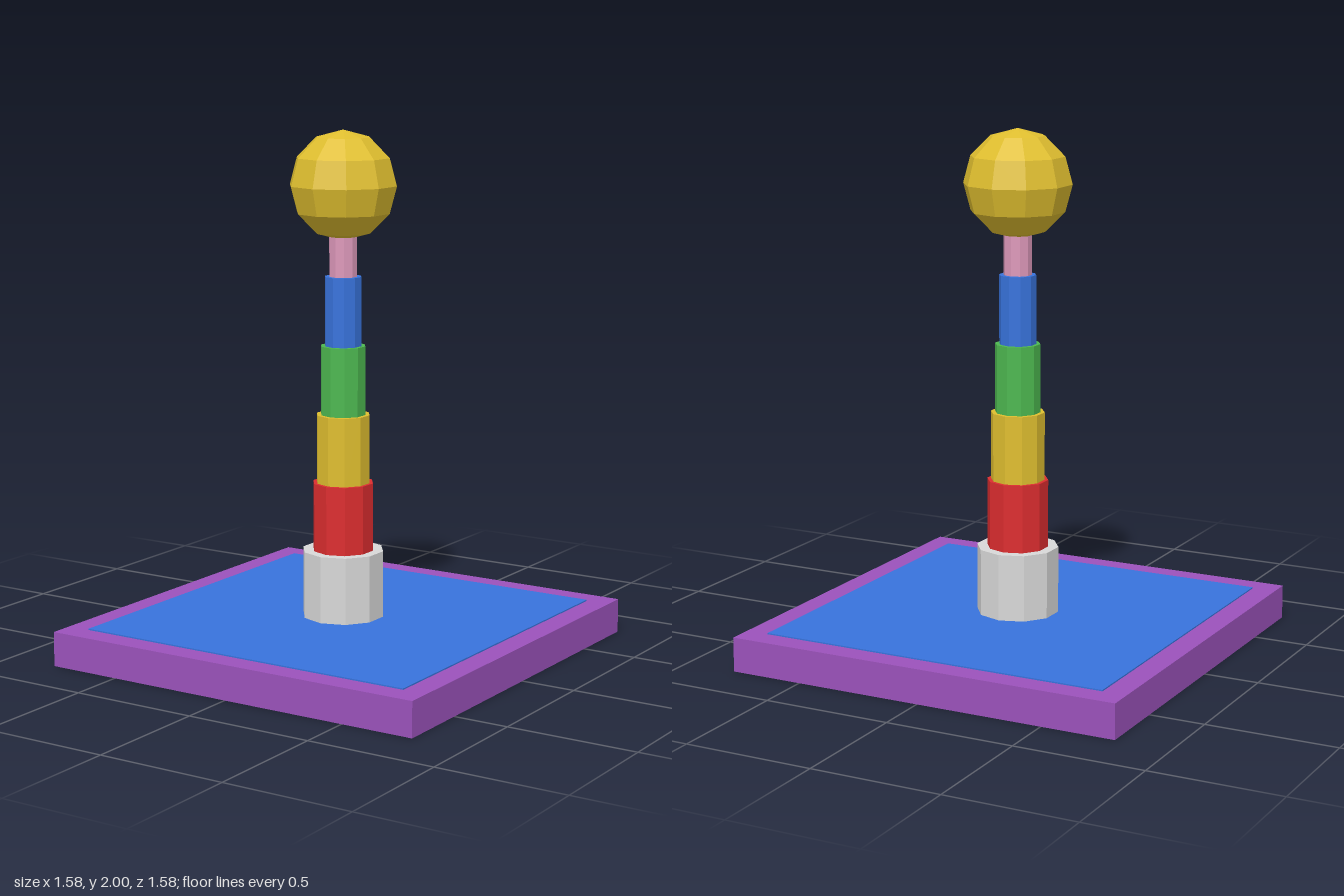
import * as THREE from 'three';

const paint = (name, color) => {
  const m = new THREE.MeshStandardMaterial({ color });
  m.name = name;
  m.flatShading = true;
  return m;
};

export function createModel() {
  const model = new THREE.Group();
  model.name = 'steppedPost';

  const purple = paint('purple', 0x9b52bb);
  const blue = paint('blue', 0x3873dc);
  const grey = paint('grey', 0xd8d8d8);
  const red = paint('red', 0xdc2d2f);
  const yellow = paint('yellow', 0xdfbe2f);
  const green = paint('green', 0x4db850);
  const pink = paint('pink', 0xdd98ba);

  const add = (name, geometry, material, y) => {
    const mesh = new THREE.Mesh(geometry, material);
    mesh.name = name;
    mesh.position.y = y;
    model.add(mesh);
    return mesh;
  };

  // Square base with a thin inset panel on top
  const baseTop = 0.133;
  add('base', new THREE.BoxGeometry(1.575, baseTop, 1.575), purple, baseTop / 2);
  add('topPanel', new THREE.BoxGeometry(1.39, 0.006, 1.39), blue, baseTop + 0.002);

  // Telescoping ten-sided column, narrowing step by step
  const step = 0.2634;
  const tiers = [
    ['greyTier', 0.158, grey],
    ['redTier', 0.118, red],
    ['yellowTier', 0.104, yellow],
    ['greenTier', 0.087, green],
    ['blueTier', 0.071, blue],
    ['pinkTier', 0.054, pink],
  ];
  tiers.forEach(([name, radius, material], i) => {
    add(name, new THREE.CylinderGeometry(radius, radius, step, 10), material, baseTop + step * (i + 0.5));
  });

  // Faceted ball, turned so its corners line up with the column
  const ball = add('ball', new THREE.SphereGeometry(0.207, 10, 6), yellow, 1.793);
  ball.rotation.y = Math.PI / 2;

  return model;
}
